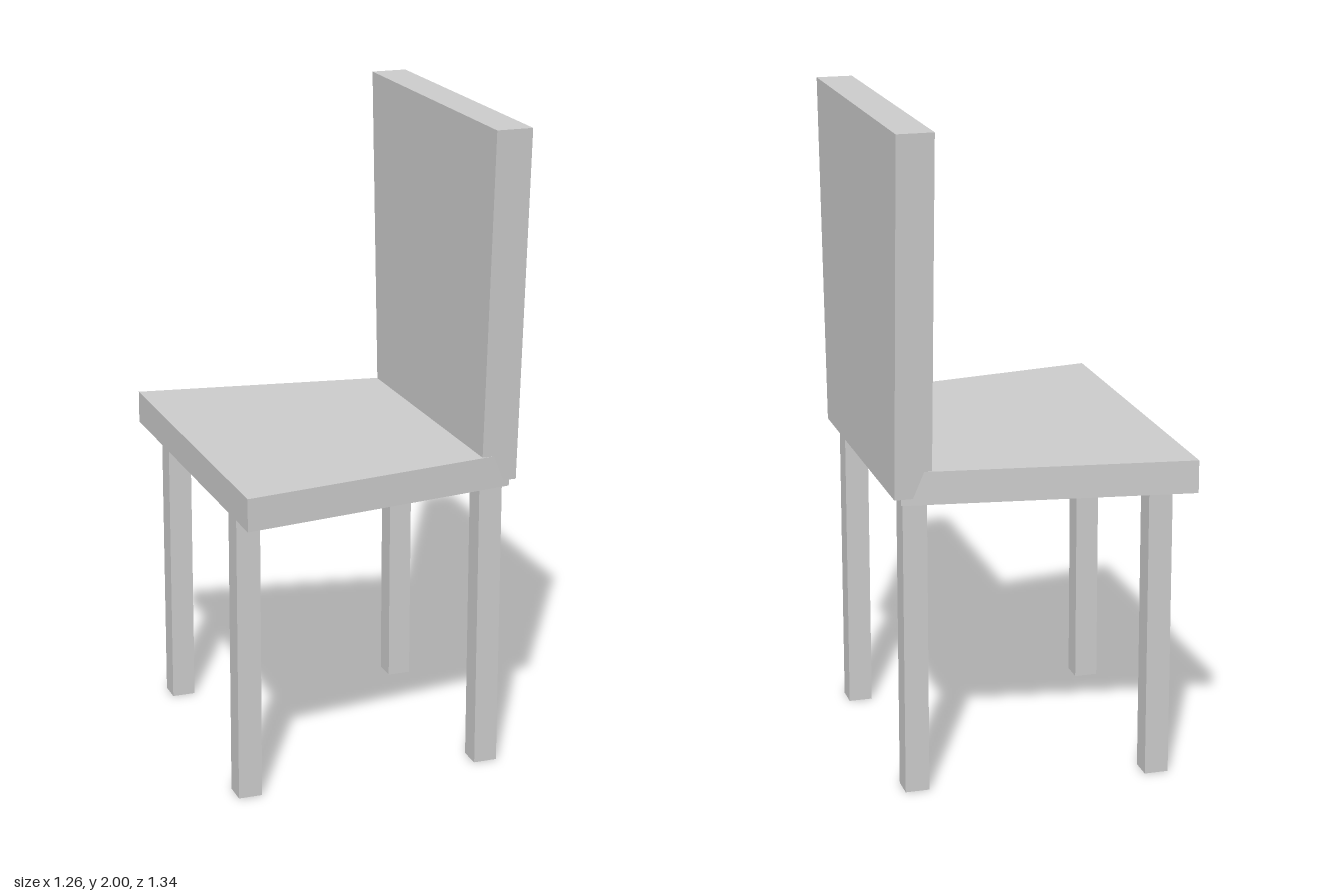
import * as THREE from 'three';

const material = new THREE.MeshStandardMaterial({ color: 0xcccccc, flatShading: true });

// Slab with a four-cornered outline, extruded by depth
function trapezoid(centre, lowHalf, highHalf, low, high, depth) {
  const shape = new THREE.Shape([
    new THREE.Vector2(centre - lowHalf, low),
    new THREE.Vector2(centre + lowHalf, low),
    new THREE.Vector2(centre + highHalf, high),
    new THREE.Vector2(centre - highHalf, high),
  ]);
  return new THREE.ExtrudeGeometry(shape, { depth, bevelEnabled: false });
}

export function createModel() {
  const model = new THREE.Group();
  model.name = 'chair';

  // The whole chair stands turned on the floor
  const chair = new THREE.Group();
  chair.name = 'turnedChair';
  chair.rotation.y = -1.109;
  model.add(chair);

  const add = (name, geometry, x = 0, y = 0, z = 0) => {
    const mesh = new THREE.Mesh(geometry, material);
    mesh.name = name;
    mesh.position.set(x, y, z);
    chair.add(mesh);
  };

  // Seat: wider at the front, laid flat
  const seat = trapezoid(-0.018, 0.555, 0.428, -0.419, 0.444, 0.1);
  seat.rotateX(-Math.PI / 2);
  add('seat', seat, 0, 0.905, 0);

  // Backrest: upright, widening to the top and sunk into the seat
  add('backrest', trapezoid(-0.019, 0.432, 0.497, 0.925, 2, 0.111), 0, 0, -0.465);

  // Square legs, unevenly placed
  const legs = {
    frontRightLeg: [-0.463, 0.329],
    frontLeftLeg: [0.342, 0.366],
    backRightLeg: [-0.391, -0.399],
    backLeftLeg: [0.344, -0.398],
  };
  for (const [name, [x, z]] of Object.entries(legs)) {
    add(name, new THREE.BoxGeometry(0.073, 0.905, 0.073), x, 0.4525, z);
  }
  return model;
}
